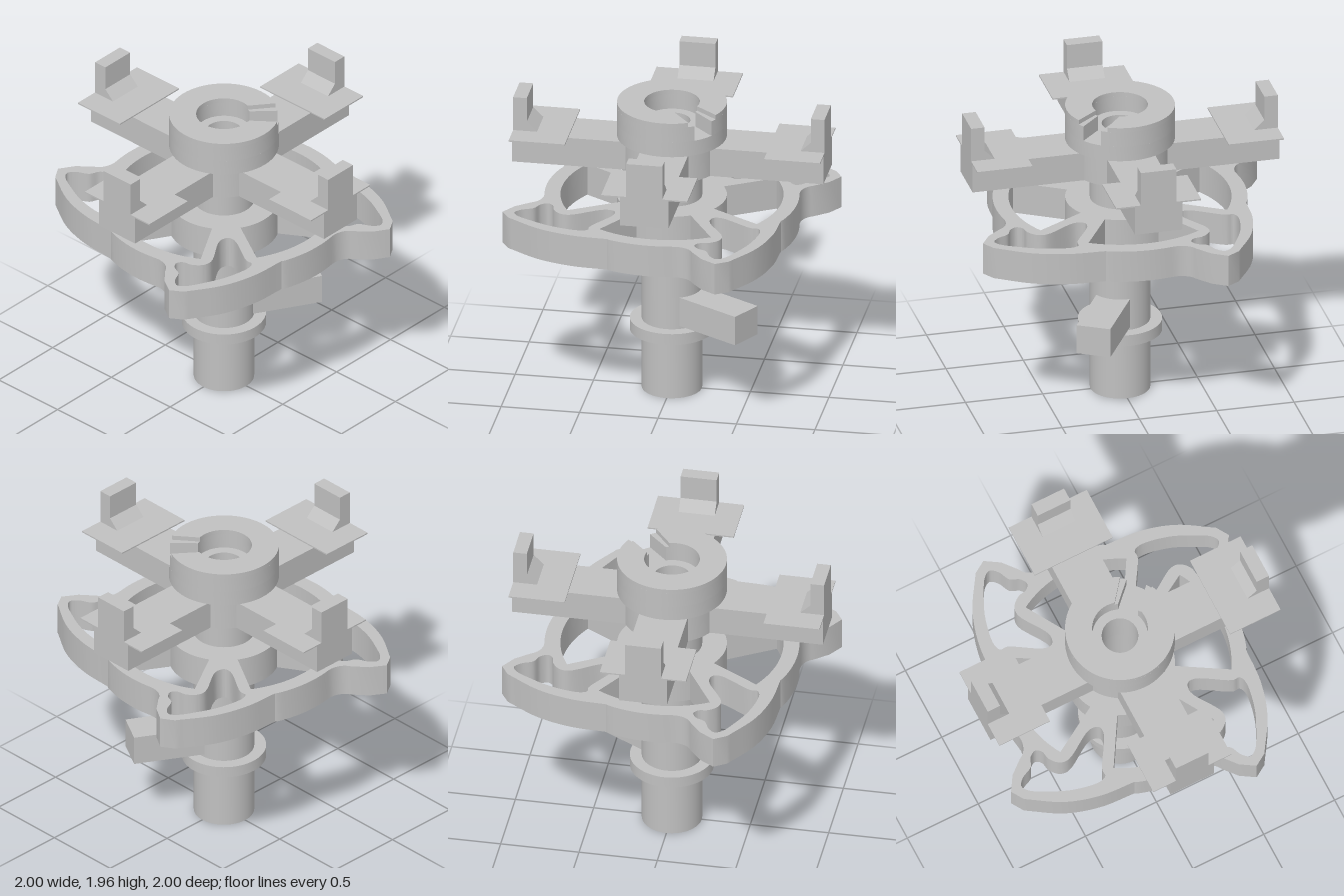
import * as THREE from 'three';
import { toCreasedNormals } from 'three/addons/utils/BufferGeometryUtils.js';

const V2 = (x, y) => new THREE.Vector2(x, y);
const DEG = Math.PI / 180;

export function createModel() {
  const model = new THREE.Group();
  model.name = 'rotaryHub';
  const grey = new THREE.MeshStandardMaterial({ color: 0xc0c0c0 });
  grey.name = 'plain grey';

  function add(parent, name, geometry) {
    const mesh = new THREE.Mesh(toCreasedNormals(geometry, 0.5), grey);
    mesh.name = name;
    parent.add(mesh);
    return mesh;
  }

  // Closed ring section turned about the y axis
  function turned(points) {
    return new THREE.LatheGeometry([...points, points[0]].map(([x, y]) => V2(x, y)), 64);
  }

  // Flat outline (x, -z) raised from y0 to y1
  function raised(shape, y0, y1) {
    const g = new THREE.ExtrudeGeometry(shape, { depth: y1 - y0, bevelEnabled: false, curveSegments: 32 });
    return g.rotateX(-Math.PI / 2).translate(0, y0, 0);
  }

  // Side profile (x, y) extruded symmetrically in z
  function sideProfile(points, width) {
    const shape = new THREE.Shape(points.map(([x, y]) => V2(x, y)));
    return new THREE.ExtrudeGeometry(shape, { depth: width, bevelEnabled: false }).translate(0, 0, -width / 2);
  }

  function smoothPoints(points, closed, count) {
    const curve = new THREE.CatmullRomCurve3(points.map(([x, y]) => new THREE.Vector3(x, y, 0)), closed);
    const result = curve.getPoints(count).map(p => V2(p.x, p.y));
    if (closed) result.pop();
    return result;
  }

  function arcPoints(r, a0, a1, count) {
    return Array.from({ length: count + 1 }, (_, i) => {
      const a = a0 + (a1 - a0) * i / count;
      return V2(r * Math.cos(a), r * Math.sin(a));
    });
  }

  const turn = (points, a) => points.map(p => p.clone().rotateAround(V2(0, 0), a));

  // Hollow stem and collar
  add(model, 'stem', turned([[0.115, 0], [0.19, 0], [0.19, 1.535], [0.115, 1.535]]));
  add(model, 'collar', turned([[0.15, 0.4], [0.265, 0.4], [0.265, 0.475], [0.15, 0.475]]));

  // Radial lever block on the stem
  const lever = new THREE.BoxGeometry(0.46, 0.195, 0.22).translate(0.38, 0.5925, 0);
  add(model, 'lever', lever.rotateY(60 * DEG));

  // Four-lobed wheel: one quadrant repeated
  const lobeEdge = [
    ...new THREE.QuadraticBezierCurve(V2(0.785, 0.17), V2(0.79, 0.25), V2(0.85, 0.28)).getPoints(8),
    V2(0.94, 0.355), V2(1.0, 0.45),
    ...smoothPoints([[0.95, 0.53], [0.73, 0.665], [0.51, 0.73], [0.28, 0.745]], false, 24),
    ...arcPoints(0.8, 70.5 * DEG, 100 * DEG, 10),
  ];
  const lobeHole = smoothPoints([
    [0.31, 0.32], [0.37, 0.305], [0.58, 0.423], [0.64, 0.415], [0.69, 0.36], [0.705, 0.3],
    [0.74, 0.275], [0.785, 0.3], [0.815, 0.36], [0.89, 0.4], [0.925, 0.445], [0.9, 0.49],
    [0.8, 0.55], [0.65, 0.615], [0.47, 0.645], [0.425, 0.625], [0.423, 0.58], [0.305, 0.37],
  ], true, 108);
  const sectorHole = [
    ...arcPoints(0.345, 30 * DEG, -30 * DEG, 16),
    ...arcPoints(0.7, -30.5 * DEG, 30.5 * DEG, 24),
  ];
  const quarters = [0, 1, 2, 3].map(i => i * Math.PI / 2);
  const wheel = new THREE.Shape(quarters.flatMap(a => turn(lobeEdge, a)));
  for (const a of quarters) {
    wheel.holes.push(new THREE.Path(turn(lobeHole, a)), new THREE.Path(turn(sectorHole, a)));
  }
  wheel.holes.push(new THREE.Path(arcPoints(0.15, 0, 2 * Math.PI, 48).slice(0, -1)));
  add(model, 'lobedWheel', raised(wheel, 1.11, 1.32));

  // Stepped hub with a ledge inside its bore
  add(model, 'hub', turned([
    [0.115, 1.535], [0.31, 1.535], [0.31, 1.73], [0.345, 1.73], [0.345, 1.83], [0.115, 1.83],
  ]));

  // Rim layers with a stepped notch on one diagonal
  function notchedRing(innerGap, outerGap) {
    const a = Math.asin(outerGap / 2 / 0.345), b = Math.asin(innerGap / 2 / 0.175);
    const mid = 45 * DEG, full = 2 * Math.PI;
    return new THREE.Shape([
      ...arcPoints(0.345, mid + a, mid + full - a, 60),
      ...arcPoints(0.175, mid + full - b, mid + b, 48),
    ]);
  }
  add(model, 'hubRim', raised(notchedRing(0.13, 0.13), 1.83, 1.93));
  add(model, 'hubRimLip', raised(notchedRing(0.17, 0.21), 1.93, 1.96));

  // Four arms, each with a thin plate and a braced upright tab
  quarters.forEach(a => {
    const arm = new THREE.Group();
    arm.name = 'arm';
    arm.rotation.y = a;
    add(arm, 'beam', new THREE.BoxGeometry(0.79, 0.19, 0.307).translate(0.597, 1.63, 0));
    add(arm, 'plate', new THREE.BoxGeometry(0.357, 0.009, 0.55).translate(0.8135, 1.7295, 0));
    add(arm, 'tab', sideProfile([
      [0.84, 1.734], [0.992, 1.734], [0.992, 1.96], [0.905, 1.96], [0.905, 1.797],
    ], 0.23));
    model.add(arm);
  });

  return model;
}
